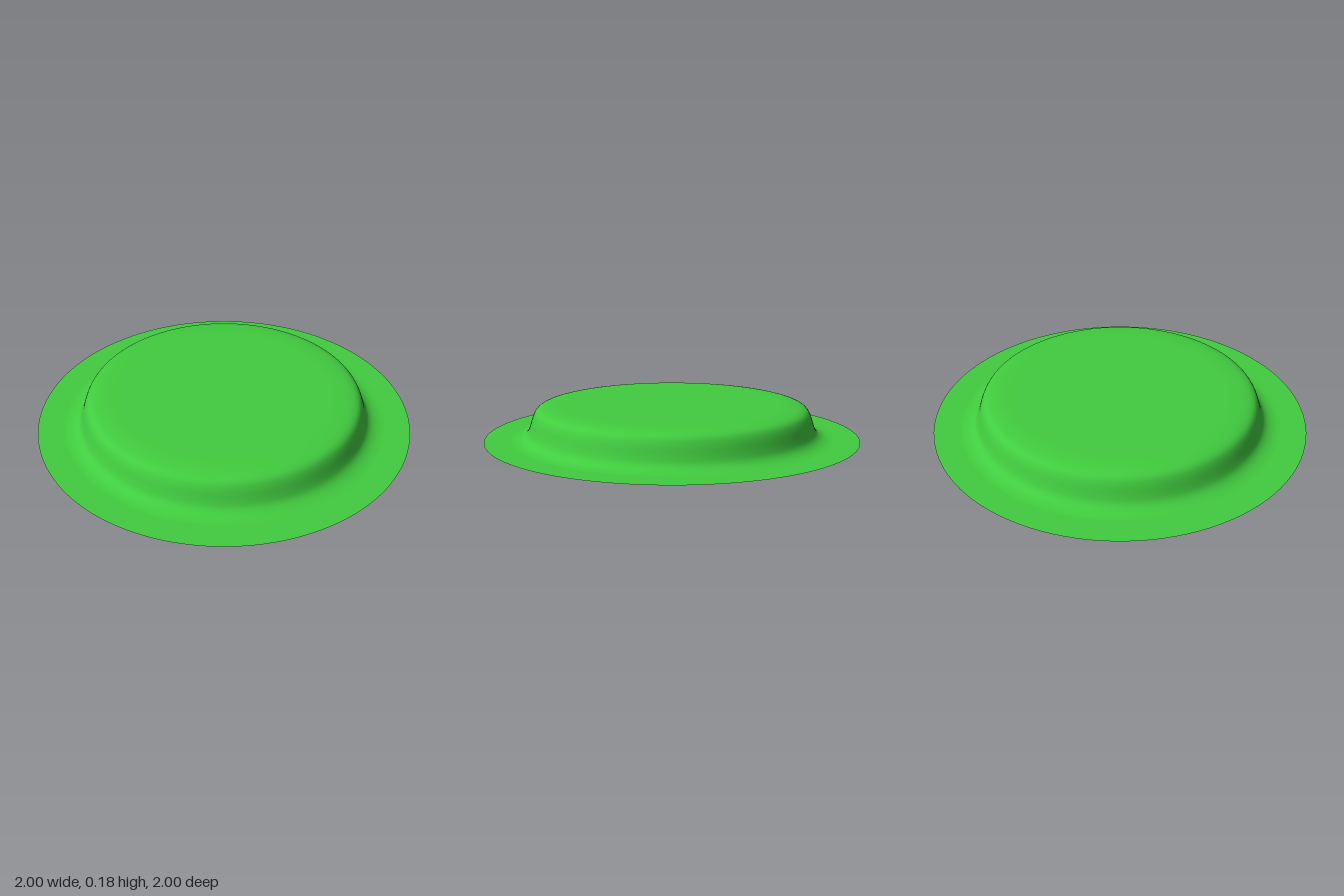
import * as THREE from 'three';

export function createModel() {
  const group = new THREE.Group();
  group.name = 'disc';

  // Profile from the brim edge, up the rounded wall, to the centre of the crown
  const profile = new THREE.Path();
  profile.moveTo(1, 0);
  profile.lineTo(0.93, 0);
  profile.lineTo(0.86, 0);
  profile.bezierCurveTo(0.81, 0.003, 0.777, 0.02, 0.765, 0.05); // flare into the brim
  profile.bezierCurveTo(0.753, 0.08, 0.75, 0.1, 0.74, 0.125); // wall
  profile.bezierCurveTo(0.723, 0.168, 0.705, 0.178, 0.58, 0.182); // rounded shoulder
  profile.lineTo(0.5, 0.182);
  profile.lineTo(0, 0.182);

  // Thin shell, open underneath
  const shell = new THREE.Mesh(
    new THREE.LatheGeometry(profile.getPoints(10), 128),
    new THREE.MeshStandardMaterial({ color: 0x41cc3f, side: THREE.DoubleSide })
  );
  shell.name = 'crownAndBrim';
  group.add(shell);
  return group;
}
